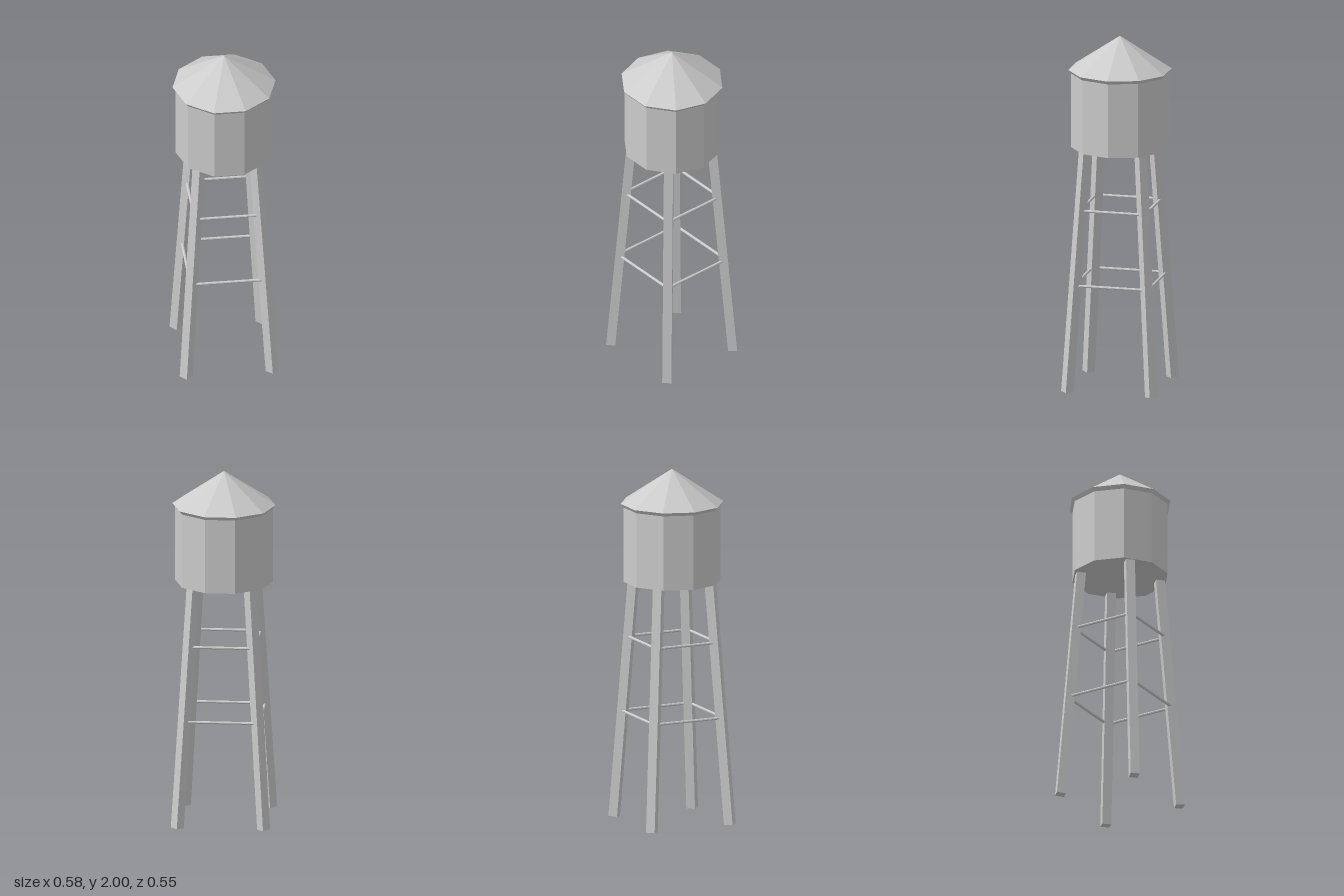
import * as THREE from 'three';

export function createModel() {
  const model = new THREE.Group();
  model.name = 'waterTower';
  const grey = new THREE.MeshStandardMaterial({ color: 0xcccccc, flatShading: true });
  grey.name = 'grey metal';

  function add(name, geometry, parent = model) {
    const mesh = new THREE.Mesh(geometry, grey);
    mesh.name = name;
    parent.add(mesh);
    return mesh;
  }

  // Ten-sided drum with a corner on the x axis
  function drum(name, rTop, rBottom, y0, y1, open = false) {
    const g = new THREE.CylinderGeometry(rTop, rBottom, y1 - y0, 10, 1, open);
    g.rotateY(Math.PI / 2);
    g.translate(0, (y0 + y1) / 2, 0);
    return add(name, g);
  }

  // Tank, sloped eave and conical roof
  drum('tank', 0.272, 0.272, 1.365, 1.8);
  drum('eave', 0.288, 0.272, 1.788, 1.808, true);
  drum('roof', 0, 0.288, 1.808, 2, true);

  // Square legs set on the diagonals, leaning inwards
  const lean = THREE.MathUtils.degToRad(4.8);
  const legLength = 1.4;
  for (let i = 0; i < 4; i++) {
    const corner = new THREE.Group();
    corner.name = 'legCorner' + (i + 1);
    corner.rotation.y = Math.PI / 4 + i * Math.PI / 2;
    model.add(corner);
    const g = new THREE.BoxGeometry(0.051, legLength, 0.051);
    g.translate(0, legLength / 2, 0);
    const leg = add('leg', g, corner);
    leg.position.set(0, 0.002, 0.34);
    leg.rotation.x = -lean;
  }

  // Two rings of thin horizontal braces: height, distance from axis, half length
  for (const [y, offset, half] of [[0.605, 0.212, 0.2], [1.03, 0.187, 0.175]]) {
    for (let i = 0; i < 4; i++) {
      const g = new THREE.CylinderGeometry(0.008, 0.008, half * 2, 8);
      g.rotateZ(Math.PI / 2);
      g.translate(0, y, offset);
      add('brace', g).rotation.y = i * Math.PI / 2;
    }
  }
  return model;
}
